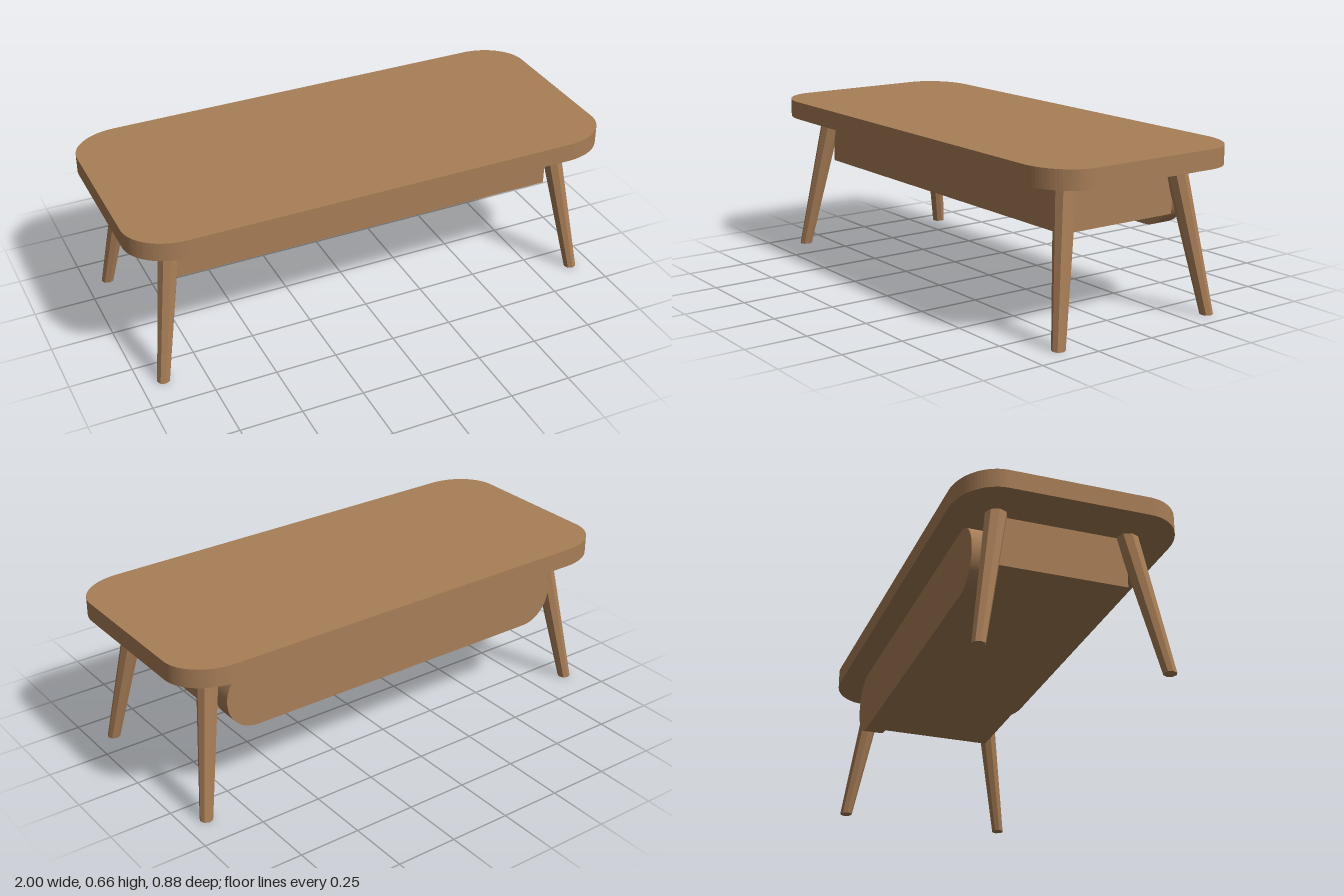
import * as THREE from 'three';

// Rectangle outline with elliptical corners, centred on the origin
function roundedShape(hw, hh, rx, ry) {
  const s = new THREE.Shape();
  const q = Math.PI / 2;
  s.moveTo(hw, -hh + ry);
  [[1, 1], [-1, 1], [-1, -1], [1, -1]].forEach(([sx, sy], i) => {
    s.absellipse(sx * (hw - rx), sy * (hh - ry), rx, ry, i * q, (i + 1) * q, false);
  });
  return s;
}

function slab(hw, hh, rx, ry, depth) {
  return new THREE.ExtrudeGeometry(roundedShape(hw, hh, rx, ry), {
    depth, bevelEnabled: false, curveSegments: 10,
  });
}

// Tapered eight-sided leg, sheared so that both ends stay level
function legGeometry(height, top, foot) {
  const g = new THREE.CylinderGeometry(0.043, 0.026, height, 8);
  g.translate(0, height / 2, 0);
  const p = g.attributes.position;
  for (let i = 0; i < p.count; i++) {
    const t = p.getY(i) / height;
    p.setX(i, p.getX(i) + THREE.MathUtils.lerp(foot[0], top[0], t));
    p.setZ(i, p.getZ(i) + THREE.MathUtils.lerp(foot[1], top[1], t));
  }
  const flat = g.toNonIndexed();
  flat.computeVertexNormals();
  return flat;
}

export function createModel() {
  const wood = new THREE.MeshStandardMaterial({ color: 0xa87e57 });
  wood.name = 'wood';
  const table = new THREE.Group();
  table.name = 'coffeeTable';
  const add = (name, geometry) => {
    const mesh = new THREE.Mesh(geometry, wood);
    mesh.name = name;
    table.add(mesh);
    return mesh;
  };

  // Table top
  const topGeo = slab(1, 0.44, 0.2, 0.165, 0.075);
  topGeo.rotateX(-Math.PI / 2);
  add('tableTop', topGeo).position.y = 0.588;

  // Storage box under the top
  add('storageBox', new THREE.BoxGeometry(1.61, 0.203, 0.524)).position.y = 0.4865;

  // Rounded panel on the back of the box
  add('backPanel', slab(0.79, 0.133, 0.13, 0.133, 0.085)).position.set(0, 0.45, -0.346);

  // Splayed legs
  for (const sx of [1, -1]) {
    for (const sz of [1, -1]) {
      const name = (sz > 0 ? 'front' : 'back') + (sx > 0 ? 'Left' : 'Right') + 'Leg';
      add(name, legGeometry(0.588, [sx * 0.815, sz * 0.262], [sx * 0.91, sz * 0.36]));
    }
  }
  return table;
}
